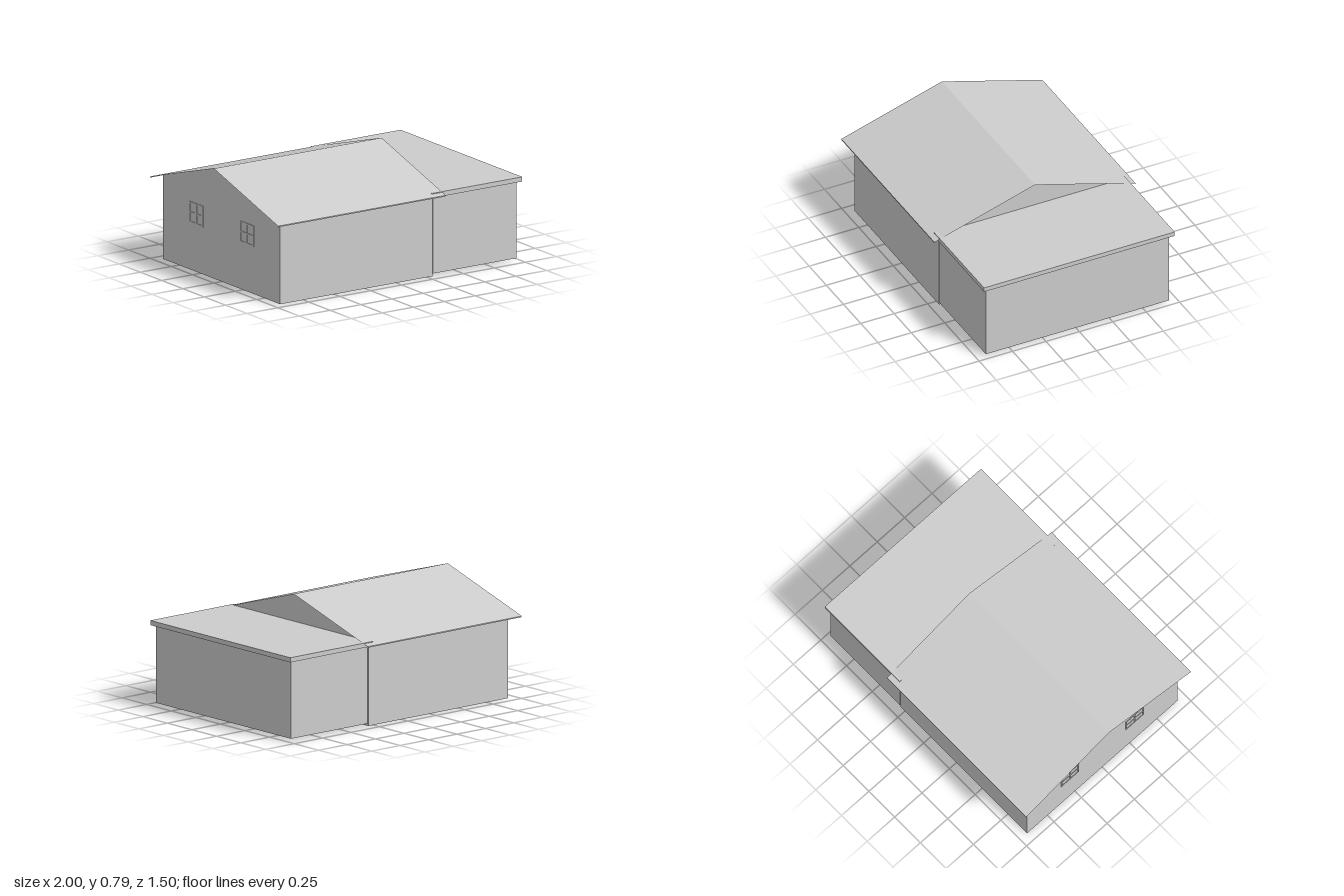
import * as THREE from 'three';

export function createModel() {
  const model = new THREE.Group();
  const plaster = new THREE.MeshStandardMaterial({ color: 0xcccccc, side: THREE.DoubleSide });
  plaster.name = 'pale grey';

  const add = (name, geometry, parent = model) => {
    const mesh = new THREE.Mesh(geometry, plaster);
    mesh.name = name;
    parent.add(mesh);
    return mesh;
  };
  // Box given by its extents on each axis
  const box = (name, [x0, x1], [y0, y1], [z0, z1], parent) => {
    const mesh = add(name, new THREE.BoxGeometry(x1 - x0, y1 - y0, z1 - z0), parent);
    mesh.position.set((x0 + x1) / 2, (y0 + y1) / 2, (z0 + z1) / 2);
  };
  // Single-skin wall across x, outline in (z, y), facing outward along side * x
  const endWall = (name, x, side, points) => {
    const shape = new THREE.Shape(points.map(([z, y]) => new THREE.Vector2(z, y)));
    const wall = add(name, new THREE.ShapeGeometry(shape));
    wall.rotation.y = side * Math.PI / 2;
    wall.position.x = x;
  };
  // Single-skin wall along x, facing outward along side * z
  const sideWall = (name, [x0, x1], [y0, y1], z, side) => {
    const wall = add(name, new THREE.PlaneGeometry(x1 - x0, y1 - y0));
    wall.position.set((x0 + x1) / 2, (y0 + y1) / 2, side * z);
    if (side < 0) wall.rotation.y = Math.PI;
  };

  const W = 0.686, RIDGE = 0.79, EAVE_Y = 0.564, EAVE_Z = 0.752;
  const mainX = [-0.937, 0.292], annexX = [0.299, 0.972], roofX = [-1, 0.355];
  const gable = [[-W, 0], [W, 0], [W, 0.582], [0, 0.788], [-W, 0.582]];
  const square = [[-W, 0.018], [W, 0.018], [W, 0.55], [-W, 0.55]];

  // Gable walls of the house and end walls of the annex
  endWall('mainGableRight', mainX[0], -1, gable);
  endWall('mainGableLeft', mainX[1], 1, gable);
  endWall('annexInnerWall', annexX[0], -1, square);
  endWall('annexOuterWall', annexX[1], 1, square);

  // Front and back: walls, roof slopes and eave fascias
  const run = Math.hypot(EAVE_Z, RIDGE - EAVE_Y);
  const pitch = Math.atan2(RIDGE - EAVE_Y, EAVE_Z);
  for (const s of [1, -1]) {
    const end = s > 0 ? 'Front' : 'Back';
    sideWall('main' + end + 'Wall', mainX, [0, 0.58], W, s);
    sideWall('annex' + end + 'Wall', annexX, [0.018, 0.55], W, s);
    sideWall('eave' + end + 'Fascia', roofX, [0.556, EAVE_Y], EAVE_Z, s);
    const slope = add('roof' + end + 'Slope', new THREE.PlaneGeometry(roofX[1] - roofX[0], run));
    slope.rotation.x = -Math.PI / 2 + s * pitch;
    slope.position.set((roofX[0] + roofX[1]) / 2, (RIDGE + EAVE_Y) / 2, s * EAVE_Z / 2);
  }

  // Flat roof of the annex
  box('annexRoof', [0.272, 1], [0.549, 0.581], [-0.713, 0.713]);

  // Raised floor with a shallow inset panel underneath
  box('floorSlab', [mainX[0] + 0.002, mainX[1] - 0.002], [0.2, 0.22], [-W + 0.002, W - 0.002]);
  box('floorPanel', [mainX[0] + 0.025, mainX[1] - 0.025], [0.197, 0.2], [-W + 0.025, W - 0.025]);

  // Four-pane windows with slim bars on both gable ends
  for (const xs of [[mainX[0] - 0.004, mainX[0] + 0.001], [mainX[1] - 0.001, mainX[1] + 0.004]]) {
    for (const z of [-0.295, 0.295]) {
      const frame = new THREE.Group();
      frame.name = 'window';
      model.add(frame);
      for (const k of [-1, 0, 1]) {
        const zc = z + k * 0.076, yc = 0.398 + k * 0.068;
        box('upright', xs, [0.325, 0.471], [zc - 0.005, zc + 0.005], frame);
        box('crossbar', xs, [yc - 0.005, yc + 0.005], [z - 0.081, z + 0.081], frame);
      }
    }
  }
  return model;
}
